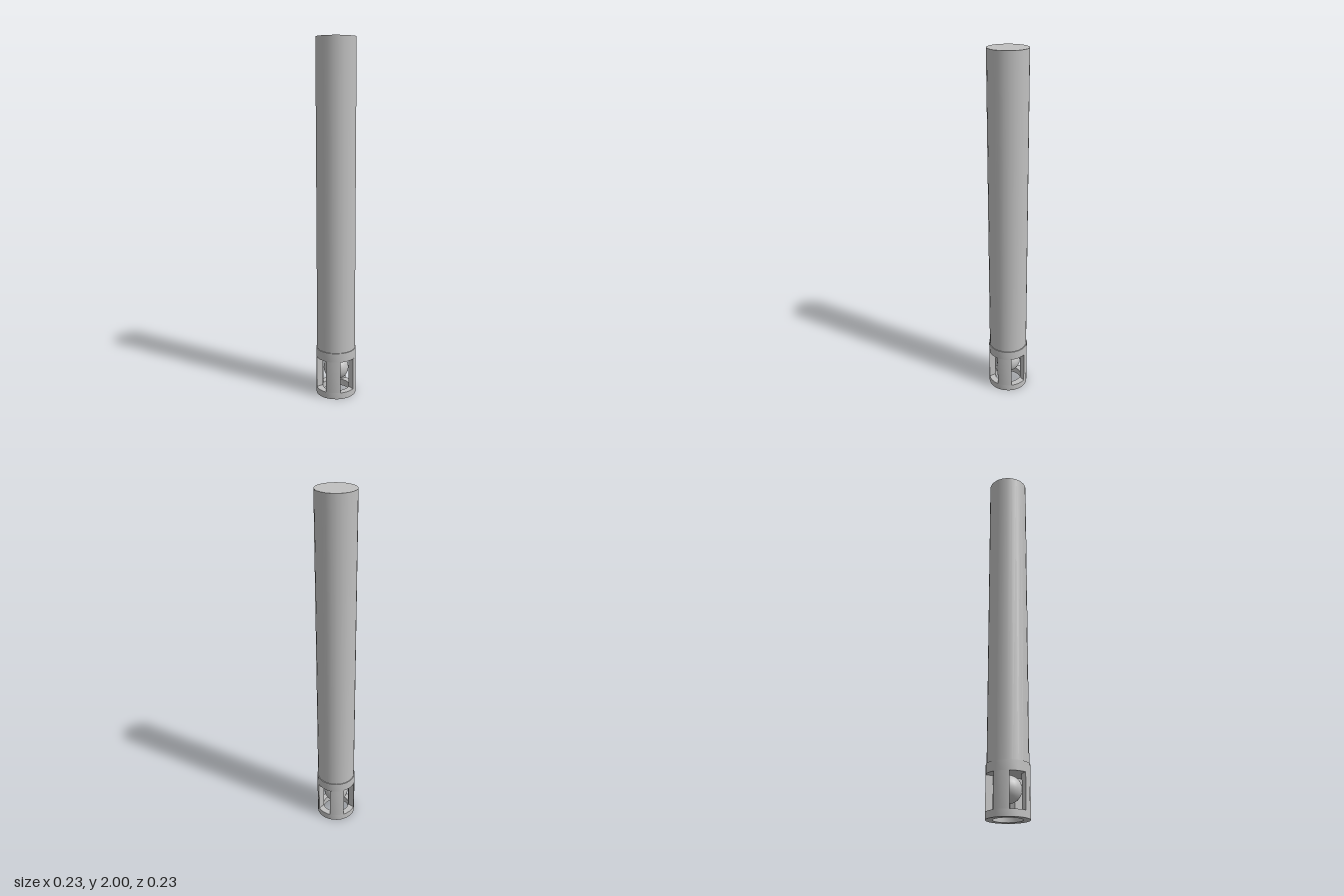
import * as THREE from 'three';
import { toCreasedNormals } from 'three/addons/utils/BufferGeometryUtils.js';

const SIDES = 24;
const BODY_R = 0.109, CAGE_R = 0.1134, BORE_R = 0.077;
const SILL = 0.037, LINTEL = 0.222, COLLAR_TOP = 0.275, TOP = 2;
const HALF_WINDOW = 0.045;

export function createModel() {
  const model = new THREE.Group();
  const grey = new THREE.MeshStandardMaterial({ color: 0xc0c0c0 });
  grey.name = 'grey metal';

  const add = (name, geometry, y = 0, parent = model) => {
    const mesh = new THREE.Mesh(geometry, grey);
    mesh.name = name;
    mesh.position.y = y;
    parent.add(mesh);
    return mesh;
  };

  // Square-edged ring between two radii and two heights
  const ring = (inner, outer, y0, y1) => {
    const profile = [[inner, y0], [outer, y0], [outer, y1], [inner, y1], [inner, y0]]
      .map(([r, y]) => new THREE.Vector2(r, y));
    return toCreasedNormals(new THREE.LatheGeometry(profile, SIDES), 0.6);
  };

  // Long solid body
  add('body', new THREE.CylinderGeometry(BODY_R, BODY_R, TOP - LINTEL, SIDES), (TOP + LINTEL) / 2);

  // Protective cage: collar, foot ring and four posts between the windows
  const cage = new THREE.Group();
  cage.name = 'cage';
  model.add(cage);
  add('collar', ring(BODY_R - 0.002, CAGE_R, LINTEL, COLLAR_TOP), 0, cage);
  add('footRing', ring(BORE_R, CAGE_R, 0, SILL), 0, cage);

  // Post section: a ring quadrant trimmed by the straight window sides
  const polar = (r, a) => new THREE.Vector2(r * Math.cos(a), r * Math.sin(a));
  const outerStart = Math.asin(HALF_WINDOW / CAGE_R);
  const innerStart = Math.asin(HALF_WINDOW / BORE_R);
  const quarter = Math.PI / 2;
  const section = [
    ...[outerStart, Math.PI / 6, Math.PI / 4, Math.PI / 3, quarter - outerStart].map((a) => polar(CAGE_R, a)),
    ...[quarter - innerStart, Math.PI / 4, innerStart].map((a) => polar(BORE_R, a)),
  ];
  const postGeometry = toCreasedNormals(
    new THREE.ExtrudeGeometry(new THREE.Shape(section), { depth: LINTEL - SILL, bevelEnabled: false })
      .rotateX(-Math.PI / 2), 0.6);
  for (let i = 0; i < 4; i++) {
    add('post', postGeometry, SILL, cage).rotation.y = i * quarter;
  }

  // Ball sensor hanging under the body inside the cage
  add('sensorBall', new THREE.SphereGeometry(0.072, SIDES, 16), 0.15);

  return model;
}
